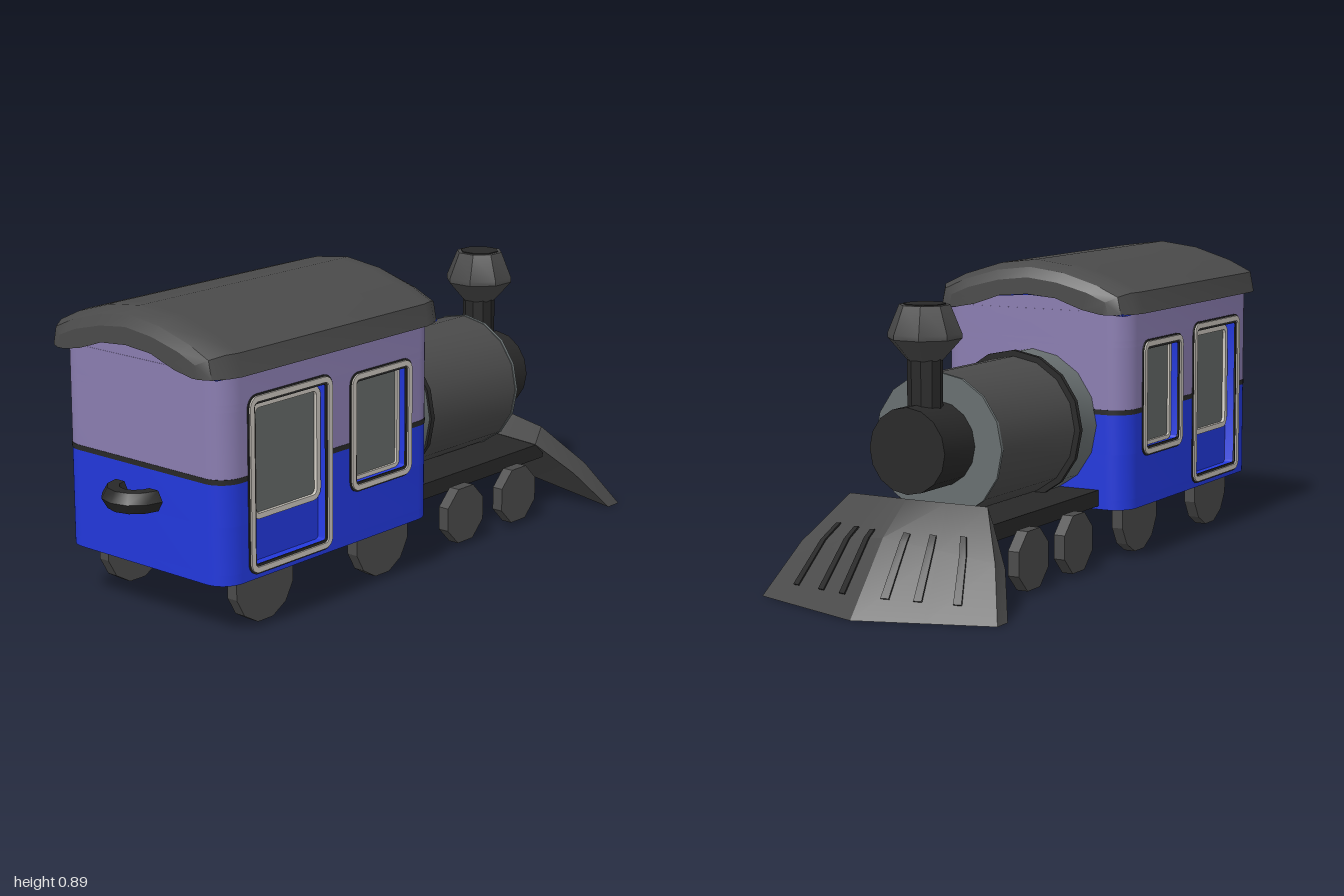
import * as THREE from 'three';
import { toCreasedNormals } from 'three/addons/utils/BufferGeometryUtils.js';

const mat = (name, color) => {
  const m = new THREE.MeshStandardMaterial({ color });
  m.name = name;
  return m;
};

export function createModel() {
  const blue = mat('blue paint', 0x2238dc);
  const lilac = mat('lilac paint', 0x8a7db0);
  const dark = mat('dark grey metal', 0x4a4a4a);
  const black = mat('black metal', 0x282828);
  const grey = mat('light grey metal', 0x686f70);
  const glass = mat('window glass', 0x646967);
  const trim = mat('pale trim', 0xc9c4bc);

  const model = new THREE.Group();
  model.name = 'steamTrain';
  const add = (name, geo, material, x = 0, y = 0, z = 0) => {
    const mesh = new THREE.Mesh(toCreasedNormals(geo, 0.5), material);
    mesh.name = name;
    mesh.position.set(x, y, z);
    model.add(mesh);
    return mesh;
  };

  // Skin over rings; each ring is an upper row (+z to -z) then a lower row back
  const loft = (rings) => {
    const n = rings[0].length, idx = [], last = (rings.length - 1) * n;
    for (let i = 0; i < rings.length - 1; i++) {
      for (let j = 0; j < n; j++) {
        const a = i * n + j, b = i * n + (j + 1) % n;
        idx.push(a, a + n, b, a + n, b + n, b);
      }
    }
    for (let j = 0; j < n / 2 - 1; j++) {
      const p = j, q = j + 1, r = n - 2 - j, s = n - 1 - j;
      idx.push(p, q, r, p, r, s);
      idx.push(last + p, last + r, last + q, last + p, last + s, last + r);
    }
    const g = new THREE.BufferGeometry();
    g.setAttribute('position', new THREE.Float32BufferAttribute(rings.flat(2), 3));
    g.setIndex(idx);
    return g;
  };

  // Cabin: stacked slices of a rounded plan, notched where openings pass through
  const X0 = -0.885, X1 = 0, W = 0.315, R = 0.07, DEPTH = 0.04;
  const door = [-0.775, -0.465], win = [-0.358, -0.122];
  const slice = (name, y0, y1, notches, material, grow = 0) => {
    const s = new THREE.Shape(), w = W + grow, a = X0 - grow, b = X1 + grow;
    s.moveTo(a + R, -w);
    for (const [l, r] of notches) {
      s.lineTo(l, -w); s.lineTo(l, -w + DEPTH); s.lineTo(r, -w + DEPTH); s.lineTo(r, -w);
    }
    s.lineTo(b - R, -w);
    s.absarc(b - R, -w + R, R, -Math.PI / 2, 0);
    s.absarc(b - R, w - R, R, 0, Math.PI / 2);
    for (const [l, r] of [...notches].reverse()) {
      s.lineTo(r, w); s.lineTo(r, w - DEPTH); s.lineTo(l, w - DEPTH); s.lineTo(l, w);
    }
    s.lineTo(a + R, w);
    s.absarc(a + R, w - R, R, Math.PI / 2, Math.PI);
    s.absarc(a + R, -w + R, R, Math.PI, Math.PI * 1.5);
    const g = new THREE.ExtrudeGeometry(s, { depth: y1 - y0, bevelEnabled: false, curveSegments: 5 });
    add(name, g.rotateX(-Math.PI / 2), material, 0, y0, 0);
  };
  slice('cabinFloor', 0.158, 0.164, [], black, -0.008);
  slice('cabinSill', 0.16, 0.19, [], blue);
  slice('cabinLowerWall', 0.19, 0.326, [door], blue);
  slice('cabinMiddleWall', 0.326, 0.445, [door, win], blue);
  slice('cabinStripe', 0.445, 0.46, [door, win], black, 0.001);
  slice('cabinUpperWall', 0.46, 0.645, [door, win], lilac);
  slice('cabinWindowHead', 0.645, 0.665, [door], lilac);
  slice('cabinTopWall', 0.665, 0.75, [], lilac);

  // Arched gable and the blue lining under the roof
  const arch = [[0.31, 0.745], [0.23, 0.757], [0.17, 0.773], [0.12, 0.787], [0, 0.795]];
  const mirrored = (pts) => [...pts, ...pts.slice(0, -1).reverse().map(([z, y]) => [-z, y])];
  const gable = (name, x0, x1, lift, base, material) => {
    const top = mirrored(arch).map(([z, y]) => [z, y + lift]);
    const bottom = mirrored(arch).reverse().map(([z, y]) => [z, base ?? y - 0.004]);
    const ring = [...top, ...bottom];
    add(name, loft([x0, x1].map((x) => ring.map(([z, y]) => [x, y, z]))), material);
  };
  gable('cabinGable', X0 + 0.001, X1 - 0.001, 0, 0.74, lilac);
  gable('roofLining', X0 - 0.015, X1 + 0.015, 0.002, undefined, blue);

  // Arched roof with rounded ends
  const roofTop = mirrored([[0.34, 0.745], [0.327, 0.808], [0.25, 0.843], [0.125, 0.88], [0, 0.895]]);
  const roofLow = mirrored(arch);
  const ends = [[0.482, 0.8, 0.5], [0.465, 0.9, 0.8], [0.425, 0.97, 1], [0.385, 1, 1]];
  const stations = [...ends.map(([d, s, f]) => [-d, s, f]), ...[...ends].reverse()];
  add('roof', loft(stations.map(([x, s, f]) => [
    ...roofTop.map(([z, y], i) => [x, roofLow[i][1] + (y - roofLow[i][1]) * f, z * s]),
    ...roofLow.map(([z, y]) => [x, y, z * s]).reverse(),
  ])), dark, -0.4475);

  // Rounded rectangles for doors and windows, on both sides of the cabin
  const roundRect = (Shape, x0, y0, x1, y1, r) => {
    const s = new Shape();
    s.absarc(x1 - r, y0 + r, r, -Math.PI / 2, 0);
    s.absarc(x1 - r, y1 - r, r, 0, Math.PI / 2);
    s.absarc(x0 + r, y1 - r, r, Math.PI / 2, Math.PI);
    s.absarc(x0 + r, y0 + r, r, Math.PI, Math.PI * 1.5);
    s.closePath();
    return s;
  };
  const panel = (name, [x0, y0, x1, y1], rim, z0, z1, material, r = 0.03) => {
    const s = roundRect(THREE.Shape, x0, y0, x1, y1, r);
    if (rim) s.holes.push(roundRect(THREE.Path, x0 + rim, y0 + rim, x1 - rim, y1 - rim, Math.max(r - rim, 0.004)));
    for (const side of [1, -1]) {
      const g = new THREE.ExtrudeGeometry(s, { depth: z1 - z0, bevelEnabled: false, curveSegments: 4 });
      add(name, g, material, 0, 0, side > 0 ? z0 : -z1);
    }
  };
  const inner = W - DEPTH;
  panel('doorEdge', [-0.79, 0.173, -0.45, 0.68], 0.028, W - 0.002, W + 0.003, black, 0.035);
  panel('doorFrame', [-0.785, 0.178, -0.455, 0.675], 0.016, W - 0.002, W + 0.008, trim);
  panel('doorLining', [-0.777, 0.188, -0.463, 0.667], 0.008, inner, W, blue, 0.02);
  panel('doorPanel', [-0.777, 0.188, -0.463, 0.667], 0, inner, inner + 0.006, blue, 0.01);
  panel('doorWindowFrame', [-0.752, 0.318, -0.475, 0.648], 0.016, inner, inner + 0.02, trim);
  panel('doorWindowGlass', [-0.745, 0.325, -0.482, 0.641], 0, inner, inner + 0.01, glass);
  panel('windowEdge', [-0.375, 0.31, -0.105, 0.66], 0.028, W - 0.002, W + 0.003, black, 0.035);
  panel('windowFrame', [-0.37, 0.315, -0.11, 0.655], 0.016, W - 0.002, W + 0.008, trim);
  panel('windowLining', [-0.361, 0.324, -0.119, 0.647], 0.008, inner, W, blue, 0.02);
  panel('windowInnerFrame', [-0.352, 0.333, -0.128, 0.638], 0.012, inner, inner + 0.015, trim, 0.02);
  panel('windowGlass', [-0.355, 0.33, -0.125, 0.641], 0, inner, inner + 0.008, glass, 0.015);

  // Boiler drums along x
  const drum = (name, x0, x1, r, y, sides, material) => add(name,
    new THREE.CylinderGeometry(r, r, x1 - x0, sides).rotateZ(-Math.PI / 2), material, (x0 + x1) / 2, y, 0);
  drum('boilerCollar', -0.01, 0.1, 0.217, 0.412, 16, grey);
  drum('boilerBand', 0.1, 0.116, 0.224, 0.412, 16, black);
  drum('boiler', 0.11, 0.536, 0.206, 0.412, 16, dark);
  drum('boilerFace', 0.534, 0.544, 0.208, 0.412, 16, grey);
  drum('smokebox', 0.54, 0.705, 0.122, 0.417, 16, black);

  // Chimney
  const eighth = Math.PI / 8;
  add('chimneyStack', new THREE.CylinderGeometry(0.05, 0.05, 0.16, 10), black, 0.608, 0.59);
  const cap = [[0, 0.655], [0.05, 0.66], [0.105, 0.722], [0.105, 0.735], [0.072, 0.815], [0, 0.815]];
  add('chimneyCap', new THREE.LatheGeometry(cap.map((p) => new THREE.Vector2(...p)), 8, eighth), dark, 0.608);
  add('chimneyMouth', new THREE.CylinderGeometry(0.06, 0.06, 0.004, 8, 1, false, eighth), black, 0.608, 0.816);

  // Running board and wheels
  add('runningBoard', new THREE.BoxGeometry(0.68, 0.048, 0.45), black, 0.32, 0.194);
  const wheels = [[-0.68, 0.125, 0.118, 12], [-0.18, 0.125, 0.118, 12], [0.21, 0.1, 0.092, 8], [0.475, 0.1, 0.092, 8]];
  for (const [x, y, r, sides] of wheels) {
    for (const side of [1, -1]) {
      const g = new THREE.CylinderGeometry(r, r, 0.035, sides, 1, false, Math.PI / sides);
      add('wheel', g.rotateX(Math.PI / 2), dark, x, y, side * 0.254);
    }
  }

  // Cowcatcher: rows of [centre x, centre y, side x, side y, side z], outer and inner skin
  const outer = [[0.71, 0.285, 0.65, 0.273, 0.225], [0.83, 0.197, 0.765, 0.145, 0.315], [0.995, 0, 0.865, 0, 0.38]];
  const back = [[0.65, 0.22, 0.62, 0.22, 0.225], [0.77, 0.14, 0.71, 0.12, 0.315], [0.92, 0, 0.81, 0, 0.38]];
  const point = ([cx, cy, sx, sy, sz], u) => {
    const t = Math.abs(u);
    return [cx + (sx - cx) * t, cy + (sy - cy) * t, sz * u];
  };
  const across = [1, 0.5, 0, -0.5, -1];
  add('cowcatcher', loft(outer.map((row, i) => [
    ...across.map((u) => point(row, u)), ...[...across].reverse().map((u) => point(back[i], u)),
  ])), dark);

  // Dark slots lying just proud of the cowcatcher
  const mix = (a, b, t) => a.map((v, i) => v + (b[i] - v) * t);
  const lift = ([x, y, z], d) => [x + d, y + d * 0.8, z];
  for (const u of [0.19, 0.43, 0.72, -0.19, -0.43, -0.72]) {
    const rows = [mix(outer[0], outer[1], 0.85 - 0.3 * Math.abs(u)), outer[1], mix(outer[1], outer[2], 0.72)];
    add('cowcatcherSlot', loft(rows.map((row) => {
      const l = point(row, u + 0.03), r = point(row, u - 0.03);
      return [lift(l, 0.004), lift(r, 0.004), lift(r, -0.003), lift(l, -0.003)];
    })), black);
  }

  // Rear coupling loop
  add('rearCoupling', new THREE.TorusGeometry(0.066, 0.034, 6, 6, Math.PI)
    .rotateX(Math.PI / 2).rotateY(Math.PI / 2 * 1), black, -0.9, 0.367)
    .rotation.y = Math.PI;
  model.getObjectByName('rearCoupling').rotation.y = Math.PI;
  return model;
}
